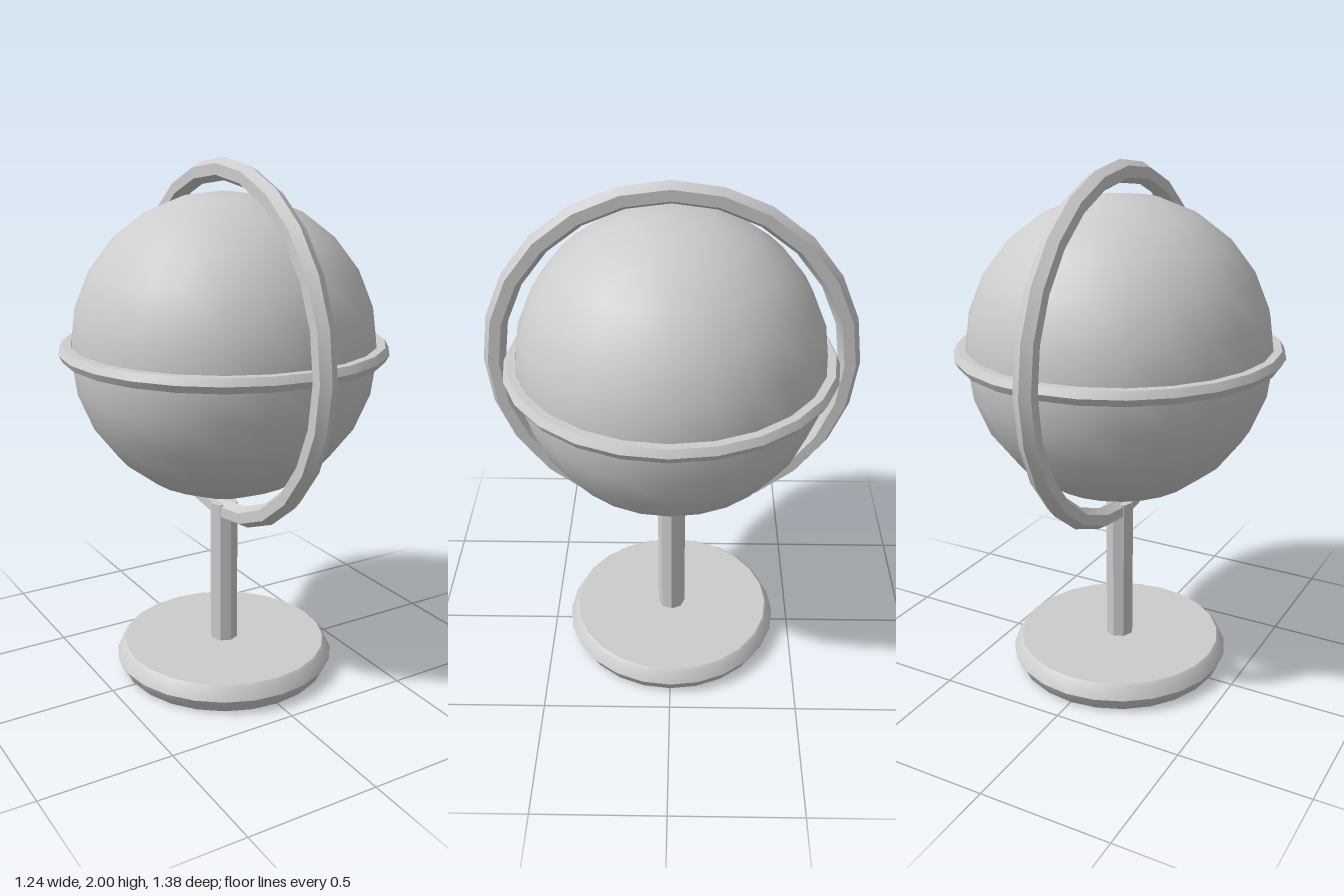
import * as THREE from 'three';
import { toCreasedNormals } from 'three/addons/utils/BufferGeometryUtils.js';

const SEGMENTS = 24;
const CENTRE_Y = 1.308;

export function createModel() {
  const model = new THREE.Group();
  model.name = 'deskGlobe';
  const grey = new THREE.MeshStandardMaterial({ color: 0xcccccc });
  grey.name = 'plain grey';

  const add = (name, geometry, y, crease = true) => {
    const mesh = new THREE.Mesh(crease ? toCreasedNormals(geometry, 0.6) : geometry, grey);
    mesh.name = name;
    mesh.position.y = y;
    model.add(mesh);
    return mesh;
  };

  // Round foot with a bevelled rim
  const profile = [[0, 0], [0.4, 0], [0.411, 0.011], [0.433, 0.056], [0.411, 0.101], [0.4, 0.11], [0, 0.11]]
    .map(([r, y]) => new THREE.Vector2(r, y));
  add('base', new THREE.LatheGeometry(profile, SEGMENTS), 0);

  // Eight-sided post from the foot up through the meridian ring
  const bottom = 0.08, top = 0.69;
  add('post', new THREE.CylinderGeometry(0.055, 0.055, top - bottom, 8), (top + bottom) / 2);

  // Smooth ball
  add('ball', new THREE.SphereGeometry(0.575, SEGMENTS, SEGMENTS / 2), CENTRE_Y, false);

  // Six-sided rings: one upright, running front to back, and one level
  add('meridianRing', new THREE.TorusGeometry(0.651, 0.041, 6, SEGMENTS), CENTRE_Y).rotation.y = Math.PI / 2;
  add('equatorRing', new THREE.TorusGeometry(0.588, 0.031, 6, SEGMENTS), CENTRE_Y).rotation.x = Math.PI / 2;

  return model;
}
